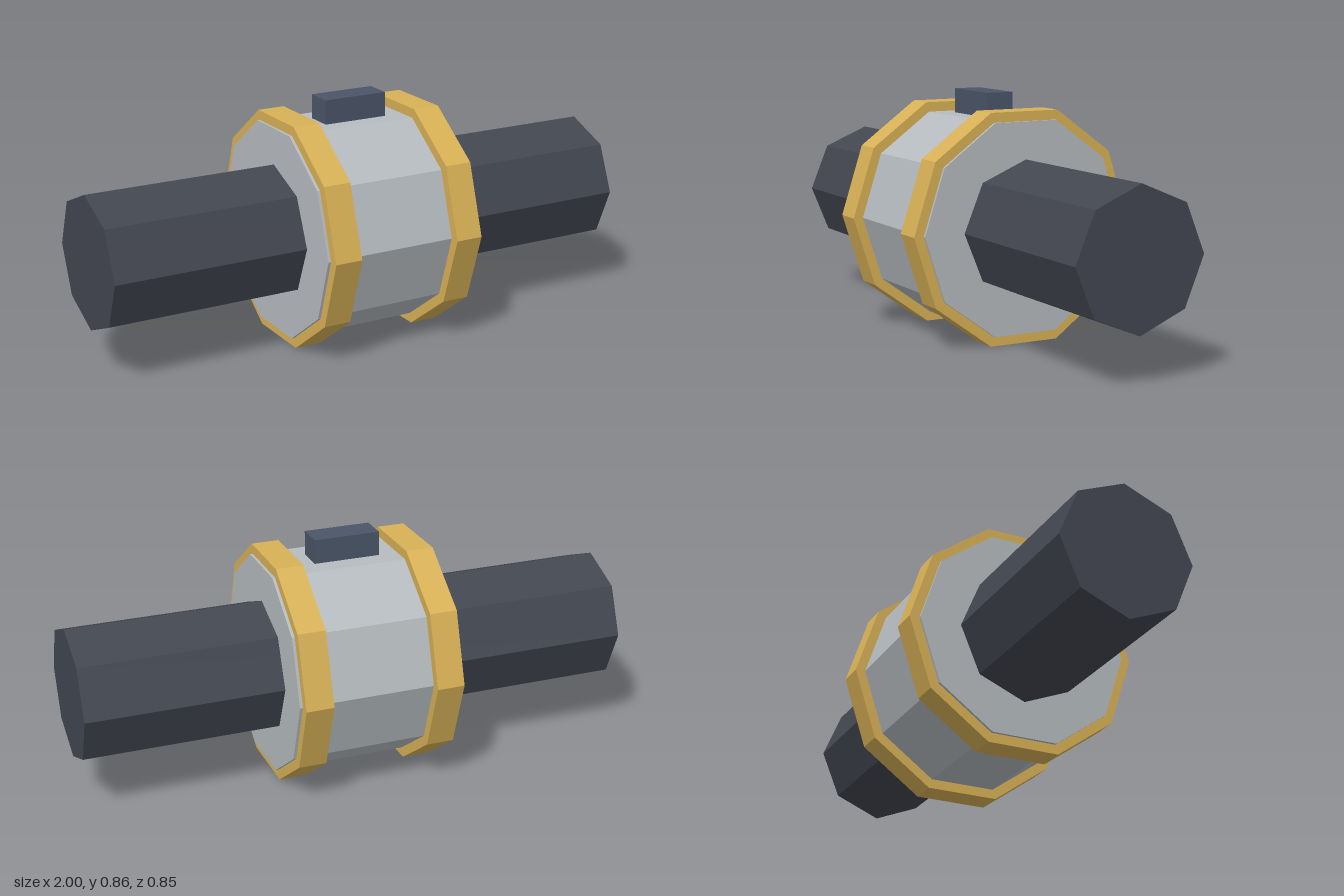
import * as THREE from 'three';

const AXIS_Y = 0.405;

function material(color) {
  return new THREE.MeshStandardMaterial({ color, flatShading: true });
}

// Faceted cylinder lying along x
function barrel(name, radius, length, sides, x, mat) {
  const geometry = new THREE.CylinderGeometry(radius, radius, length, sides);
  geometry.rotateZ(Math.PI / 2);
  const mesh = new THREE.Mesh(geometry, mat);
  mesh.name = name;
  mesh.position.set(x, AXIS_Y, 0);
  return mesh;
}

export function createModel() {
  const model = new THREE.Group();
  model.name = 'pipeCoupling';

  // Octagonal pipe through the decagonal drum
  model.add(barrel('pipe', 0.24, 2, 8, 0, material(0x424650)));
  model.add(barrel('drum', 0.39, 0.6, 10, 0, material(0xb5bbbf)));

  // Clamp rings near both drum ends
  const ringMaterial = material(0xd8b156);
  for (const [side, name] of [[1, 'leftRing'], [-1, 'rightRing']]) {
    model.add(barrel(name, 0.426, 0.1, 10, side * 0.24, ringMaterial));
  }

  // Small block on top of the drum
  const block = new THREE.Mesh(new THREE.BoxGeometry(0.24, 0.1, 0.1), material(0x4a5568));
  block.name = 'topBlock';
  block.position.set(0, 0.813, 0);
  model.add(block);

  return model;
}
